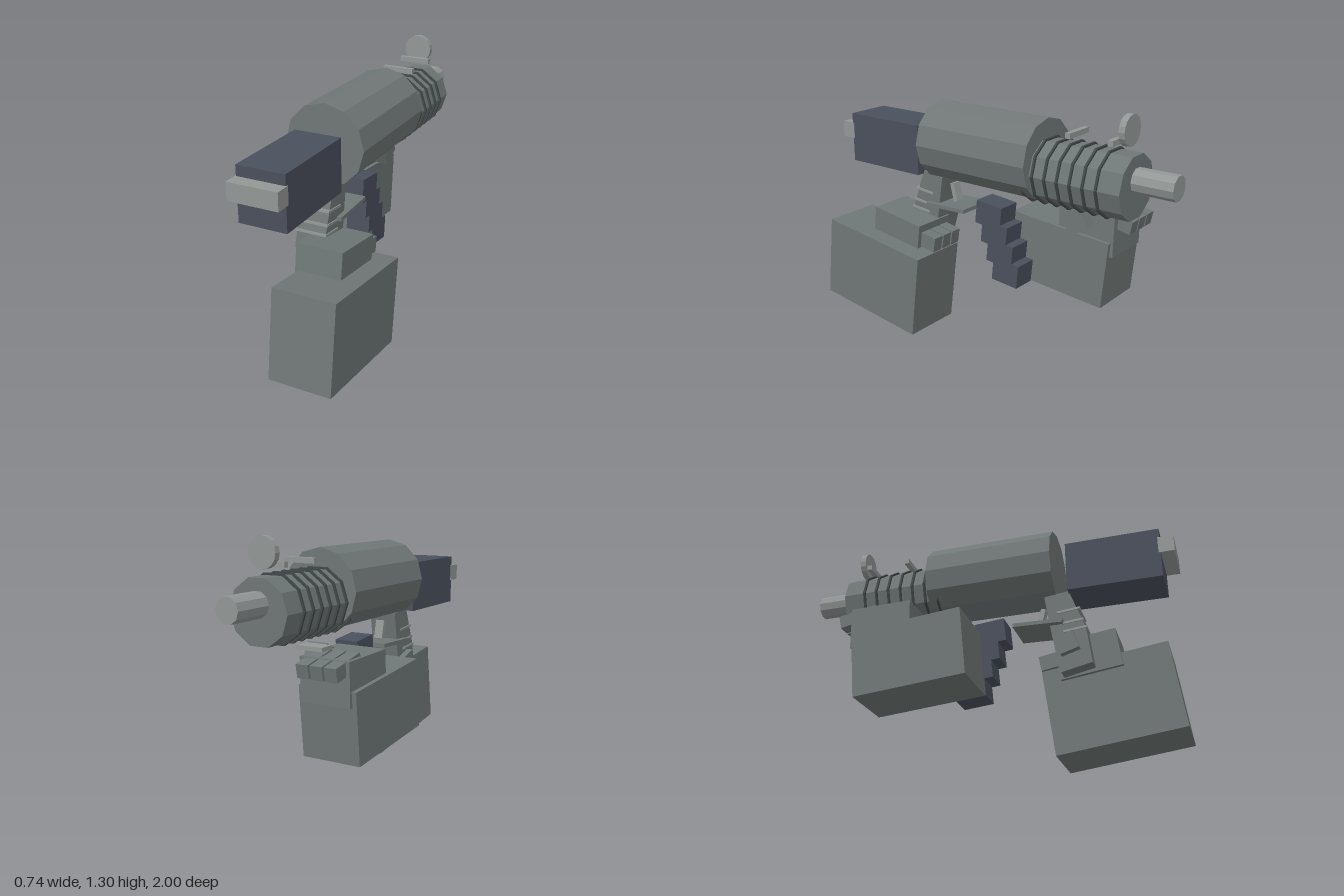
import * as THREE from 'three';

const mat = (name, color) => {
  const m = new THREE.MeshStandardMaterial({ color, flatShading: true });
  m.name = name;
  return m;
};

export function createModel() {
  const grey = mat('gunmetal grey', 0x6f7776);
  const light = mat('light steel', 0x929796);
  const blue = mat('dark blue steel', 0x4a505c);
  const dark = mat('dark ring grey', 0x414747);
  const root = new THREE.Group();
  const AXIS = 0.025; // sideways centre of the gun

  const add = (parent, name, geo, material, x, y, z, tilt = 0) => {
    const m = new THREE.Mesh(geo, material);
    m.name = name;
    m.position.set(x, y, z);
    m.rotation.x = tilt;
    parent.add(m);
    return m;
  };
  // box given by its x range, centre in y and z, height, depth and tilt
  const box = (parent, name, material, x0, x1, y, z, h, d, tilt = 0) =>
    add(parent, name, new THREE.BoxGeometry(x1 - x0, h, d), material, (x0 + x1) / 2, y, z, tilt);
  // cylinder lying along z, from z0 to z1
  const tube = (parent, name, material, r, y, z0, z1, sides, start = Math.PI / 2) => {
    const g = new THREE.CylinderGeometry(r, r, Math.abs(z1 - z0), sides, 1, false, start);
    g.rotateX(Math.PI / 2);
    return add(parent, name, g, material, AXIS, y, (z0 + z1) / 2);
  };
  const group = (name) => {
    const g = new THREE.Group();
    g.name = name;
    root.add(g);
    return g;
  };

  // Gun body
  const gun = group('gun');
  tube(gun, 'receiver', grey, 0.206, 1.016, -0.3, 0.38, 12);
  tube(gun, 'barrelShroud', grey, 0.161, 0.965, -0.79, -0.28, 10);
  tube(gun, 'barrel', light, 0.062, 1.0, -1.0, -0.78, 10);
  for (let i = 0; i < 7; i++) {
    const z = -0.25 - i * 0.07;
    tube(gun, 'coolingRing', dark, 0.172, 0.965, z - 0.006, z + 0.006, 10);
  }

  // Stock block and its butt plate
  box(gun, 'stockBlock', blue, -0.095, 0.148, 0.96, 0.688, 0.27, 0.485);
  box(gun, 'buttPlate', light, -0.1, 0.153, 0.999, 0.96, 0.088, 0.08);

  // Sights
  tube(gun, 'sightDisc', light, 0.075, 1.226, -0.755, -0.723, 16);
  for (const z of [-0.463, -0.69]) box(gun, 'sightBar', light, -0.06, 0.108, 1.172, z, 0.027, 0.027);

  // Pistol grip, drawn in side profile and extruded across the gun
  const profile = new THREE.Shape([
    [0.445, 0.84], [0.316, 0.824], [0.35, 0.6], [0.39, 0.395], [0.55, 0.43], [0.525, 0.625],
  ].map(([z, y]) => new THREE.Vector2(-z, y)));
  const gripGeo = new THREE.ExtrudeGeometry(profile, { depth: 0.155, bevelEnabled: false });
  gripGeo.rotateY(Math.PI / 2);
  add(gun, 'grip', gripGeo, grey, -0.05, 0, 0);
  for (const [y, z] of [[0.73, 0.44], [0.665, 0.455], [0.62, 0.47]])
    box(gun, 'gripRidge', light, -0.055, 0.11, y, z, 0.012, 0.12, -0.1);

  // Trigger and guard
  box(gun, 'triggerGuard', grey, -0.08, 0.13, 0.67, 0.282, 0.02, 0.26, 0.03);
  box(gun, 'trigger', light, 0, 0.05, 0.735, 0.285, 0.1, 0.025, 0.24);

  // Stepped curved magazine
  for (let i = 0; i < 4; i++)
    box(gun, 'magazineSegment', blue, -0.04, 0.09, 0.672 - i * 0.098, 0.02 - i * 0.036, 0.125, 0.16, -0.1);

  // Trigger arm
  const triggerArm = group('triggerArm');
  box(triggerArm, 'forearm', grey, 0.045, 0.365, 0.268, 0.62, 0.452, 0.65, -0.131);
  box(triggerArm, 'palm', grey, 0.025, 0.265, 0.51, 0.515, 0.205, 0.32, -0.14);
  for (let i = 0; i < 3; i++)
    box(triggerArm, 'finger', grey, 0.042 + i * 0.07, 0.102 + i * 0.07, 0.51, 0.355, 0.08, 0.19, -0.17);
  box(triggerArm, 'thumb', grey, -0.085, 0.03, 0.54, 0.43, 0.1, 0.1, -0.3);

  // Support arm
  const supportArm = group('supportArm');
  box(supportArm, 'forearm', grey, -0.37, -0.06, 0.465, -0.305, 0.355, 0.58, -0.092);
  box(supportArm, 'palm', grey, -0.347, -0.08, 0.65, -0.465, 0.215, 0.32, -0.02);
  for (let i = 0; i < 3; i++)
    box(supportArm, 'finger', grey, -0.327 + i * 0.075, -0.263 + i * 0.075, 0.722, -0.6, 0.068, 0.205, -0.2);
  box(supportArm, 'thumb', grey, -0.12, -0.01, 0.71, -0.436, 0.12, 0.12, 0.49);
  box(supportArm, 'handPlate', light, -0.18, -0.04, 0.785, -0.552, 0.02, 0.085);

  return root;
}
